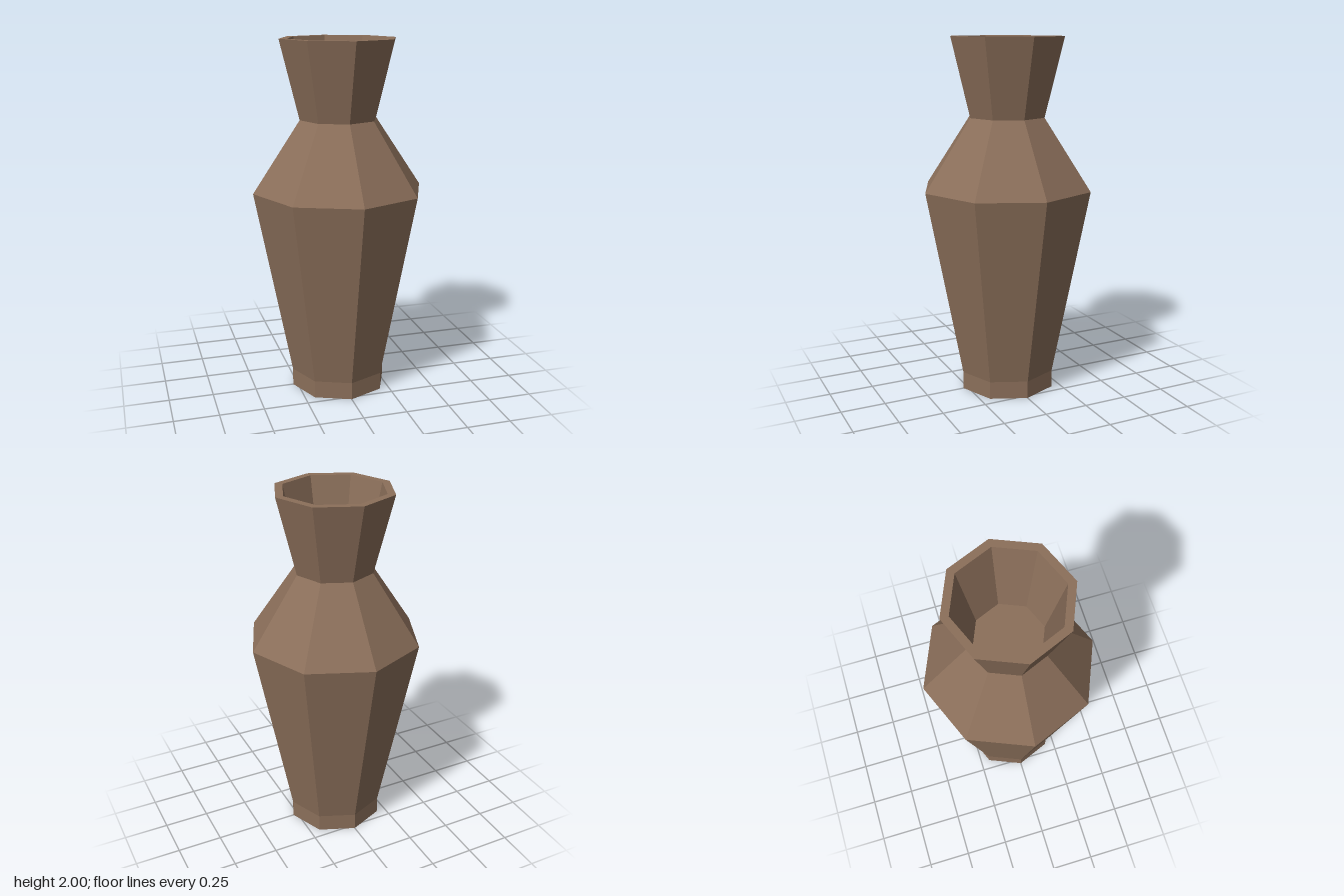
import * as THREE from 'three';

// Faceted eight-sided shell from [radius, height] pairs
function facetedShell(name, profile, material) {
  const points = profile.map(([r, y]) => new THREE.Vector2(r, y));
  const mesh = new THREE.Mesh(new THREE.LatheGeometry(points, 8), material);
  mesh.name = name;
  return mesh;
}

export function createModel() {
  const group = new THREE.Group();
  group.name = 'vase';
  const clay = new THREE.MeshStandardMaterial({ color: 0x8b6f5a, flatShading: true });

  // Foot: closed underside and short upright band
  group.add(facetedShell('foot', [[0, 0], [0.277, 0], [0.277, 0.1]], clay));

  // Body: flares to the shoulder, then narrows to the neck
  group.add(facetedShell('body', [[0.277, 0.1], [0.486, 1.17], [0.219, 1.565]], clay));

  // Neck: flares outward to the lip
  group.add(facetedShell('neck', [[0.219, 1.565], [0.328, 2]], clay));

  // Mouth: flat rim, tapering inner wall and floor
  group.add(facetedShell('mouth', [[0.328, 2], [0.284, 2], [0.19, 1.565], [0, 1.565]], clay));

  return group;
}
